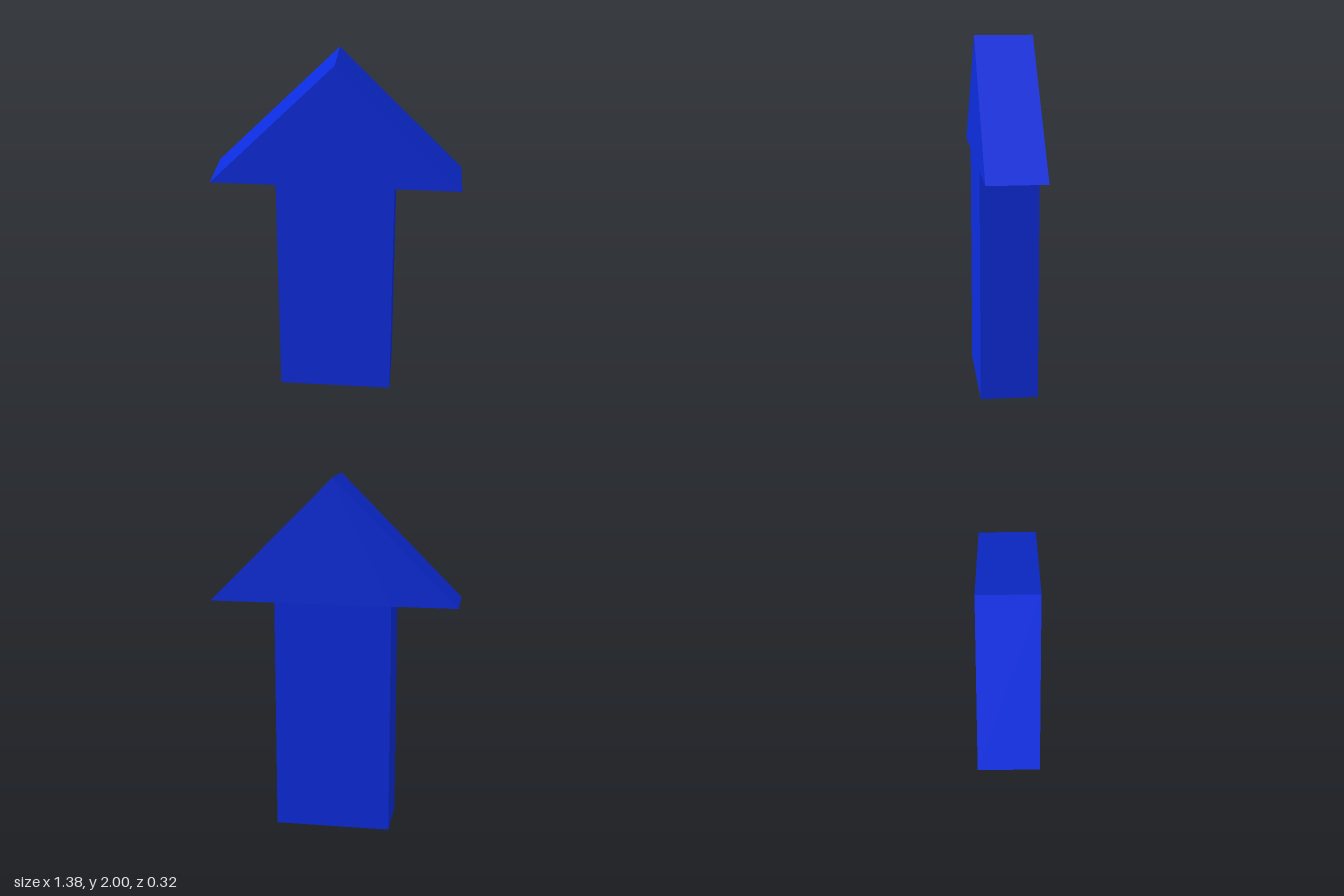
import * as THREE from 'three';

const HEIGHT = 2, HEAD_BASE = 1.31, HEAD_HALF = 0.69, SHAFT_HALF = 0.325, DEPTH = 0.324;

export function createModel() {
  const group = new THREE.Group();
  group.name = 'upArrow';

  // Right half of the outline, from the base up to the tip
  const half = [[SHAFT_HALF, 0], [SHAFT_HALF, HEAD_BASE], [HEAD_HALF, HEAD_BASE]];
  const mirrored = half.map(([x, y]) => [-x, y]).reverse();
  const outline = [...half, [0, HEIGHT], ...mirrored].map(([x, y]) => new THREE.Vector2(x, y));

  // Single solid slab: shaft and head share flush faces
  const geometry = new THREE.ExtrudeGeometry(new THREE.Shape(outline), { depth: DEPTH, bevelEnabled: false });
  geometry.translate(0, 0, -DEPTH / 2);

  const arrow = new THREE.Mesh(
    geometry,
    new THREE.MeshStandardMaterial({ color: 0x0d2de0, flatShading: true })
  );
  arrow.name = 'arrowBody';
  group.add(arrow);
  return group;
}
